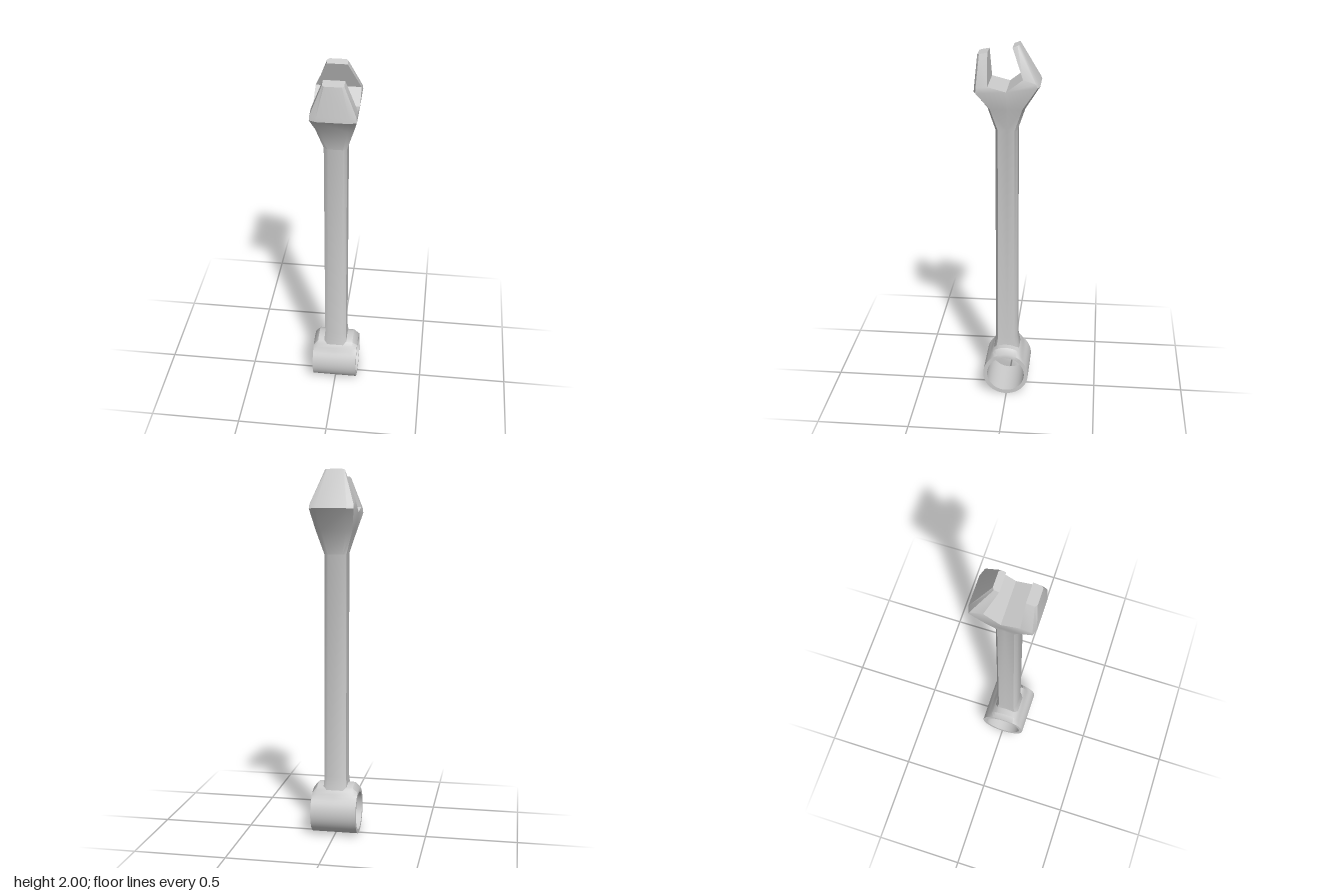
import * as THREE from 'three';
import { toCreasedNormals } from 'three/addons/utils/BufferGeometryUtils.js';

const material = new THREE.MeshStandardMaterial({ color: 0xcccccc });

// Half of the handle and one prong, lofted upwards through cross-sections.
// Row: outer z, outer y, inner z, inner y, half width, chamfer in x, chamfer in z
function loftHalf(rows, side, openSpans) {
  const pos = [], idx = [], n = 6;
  const tri = (a, b, c) => (side > 0 ? idx.push(a, b, c) : idx.push(a, c, b));
  for (const [oz, oy, iz, iy, w, cx, cz] of rows) {
    const t = cz / Math.abs(oz - iz);
    const mz = oz + (iz - oz) * t, my = oy + (iy - oy) * t;
    pos.push(w, iy, iz, w, my, mz, w - cx, oy, oz, cx - w, oy, oz, -w, my, mz, -w, iy, iz);
  }
  for (let k = 0; k < rows.length - 1; k++) {
    // The last side is the jaw wall; it is left out where the halves meet
    const sides = k < openSpans ? n - 1 : n;
    for (let i = 0; i < sides; i++) {
      const a = k * n + i, b = k * n + (i + 1) % n;
      tri(a, a + n, b + n);
      tri(a, b + n, b);
    }
  }
  const top = (rows.length - 1) * n;
  for (let i = 1; i < n - 1; i++) {
    tri(0, i, i + 1);
    tri(top, top + i + 1, top + i);
  }
  const g = new THREE.BufferGeometry();
  g.setAttribute('position', new THREE.Float32BufferAttribute(pos, 3));
  g.setIndex(idx);
  return toCreasedNormals(g, 0.65);
}

// Ring around the x axis with a raised collar where the handle joins
function ringGeometry() {
  const R = 0.127, r = 0.105, h = 0.126;
  const profile = [[r, -h], [R, -h], [R, -0.1], [R, 0], [R, 0.1], [R, h], [r, h], [r, -h]]
    .map(([x, y]) => new THREE.Vector2(x, y));
  const g = new THREE.LatheGeometry(profile, 48);
  g.rotateZ(-Math.PI / 2);
  const p = g.attributes.position;
  for (let i = 0; i < p.count; i++) {
    const y = p.getY(i), z = p.getZ(i);
    if (Math.hypot(y, z) < 0.11 || Math.abs(p.getX(i)) > 0.11) continue;
    const angle = Math.abs(Math.atan2(z, y));
    const s = 1 + 0.23 * (1 - THREE.MathUtils.smoothstep(angle, 0.3, 0.9));
    p.setY(i, y * s);
    p.setZ(i, z * s);
  }
  return toCreasedNormals(g, 0.8);
}

export function createModel() {
  const group = new THREE.Group();
  const add = (name, geometry) => {
    const mesh = new THREE.Mesh(geometry, material);
    mesh.name = name;
    group.add(mesh);
    return mesh;
  };

  // Handle halves, each ending in one jaw prong
  add('frontHandleAndProng', loftHalf([
    [0.077, 0.255, 0, 0.255, 0.066, 0.02, 0.014],
    [0.065, 0.33, 0, 0.33, 0.06, 0.02, 0.014],
    [0.063, 1.555, 0, 1.555, 0.06, 0.02, 0.014],
    [0.1, 1.68, 0, 1.68, 0.097, 0.03, 0.014],
    [0.168, 1.765, 0, 1.775, 0.118, 0.036, 0.012],
    [0.166, 1.79, 0.095, 1.8, 0.116, 0.034, 0.012],
    [0.152, 1.95, 0.1, 1.96, 0.054, 0.01, 0.01],
  ], 1, 4));
  add('backHandleAndProng', loftHalf([
    [-0.067, 0.255, 0, 0.255, 0.066, 0.02, 0.014],
    [-0.055, 0.33, 0, 0.33, 0.06, 0.02, 0.014],
    [-0.053, 1.555, 0, 1.555, 0.06, 0.02, 0.014],
    [-0.095, 1.68, 0, 1.68, 0.097, 0.03, 0.014],
    [-0.17, 1.8, 0, 1.775, 0.118, 0.036, 0.012],
    [-0.163, 1.815, -0.085, 1.84, 0.116, 0.034, 0.012],
    [-0.06, 2, -0.027, 1.987, 0.052, 0.01, 0.008],
  ], -1, 4));

  // Closed end
  add('ring', ringGeometry()).position.set(0, 0.127, 0.004);
  return group;
}
